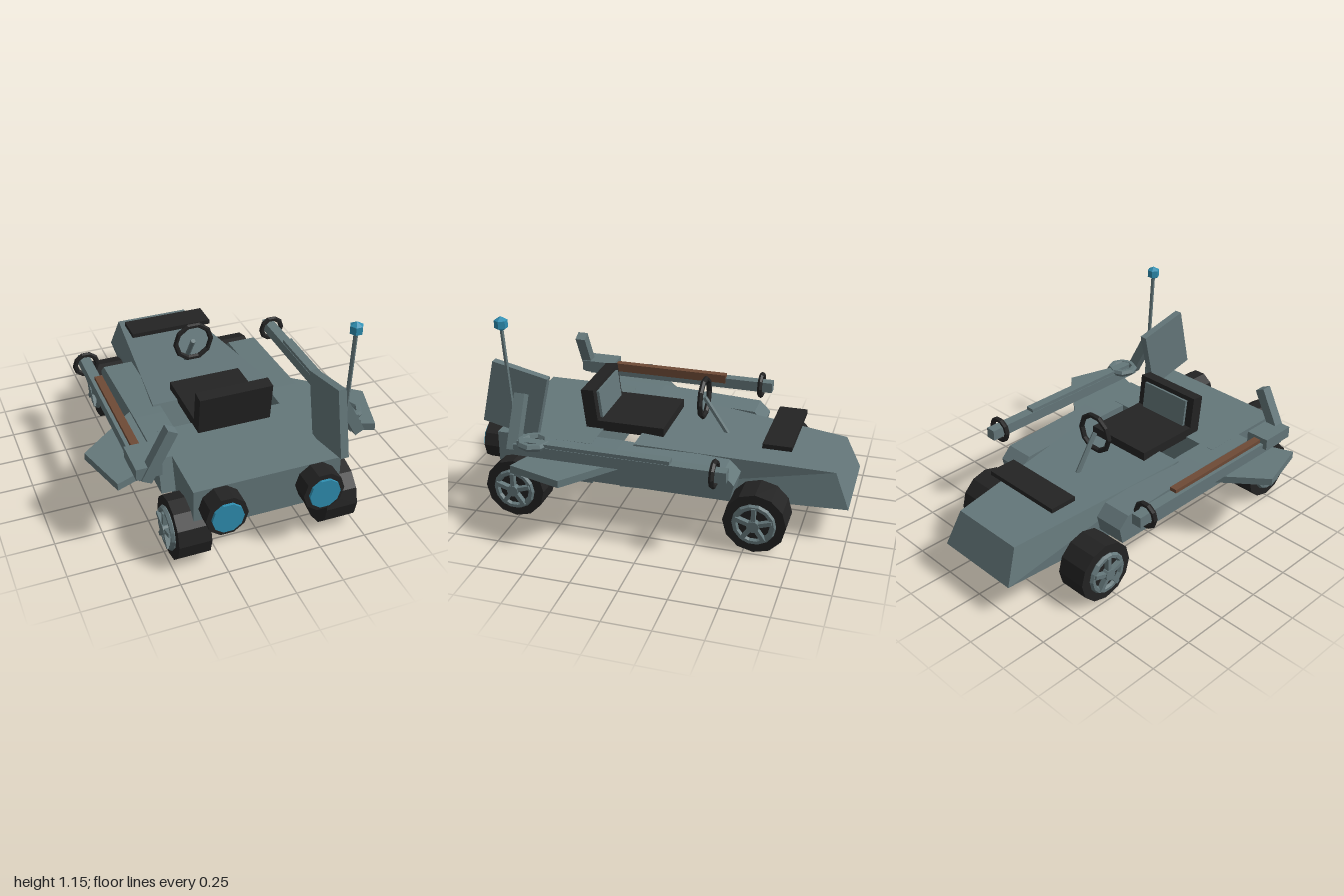
import * as THREE from 'three';

const mat = (name, color) => {
  const m = new THREE.MeshStandardMaterial({ color });
  m.name = name;
  return m;
};

export function createModel() {
  const grey = mat('slate metal', 0x64777a);
  const black = mat('black rubber', 0x232323);
  const blue = mat('blue glass', 0x2f8fb2);
  const brown = mat('brown wood', 0x6e4a36);
  const car = new THREE.Group();
  car.name = 'buggy';

  // Faceted mesh: unshared corners give flat normals
  const add = (name, geo, material, x = 0, y = 0, z = 0, parent = car) => {
    const g = geo.index ? geo.toNonIndexed() : geo;
    g.computeVertexNormals();
    const m = new THREE.Mesh(g, material);
    m.name = name;
    m.position.set(x, y, z);
    parent.add(m);
    return m;
  };
  // Box given by its limits on each axis
  const box = (name, material, x0, x1, y0, y1, z0, z1, parent = car) =>
    add(name, new THREE.BoxGeometry(x1 - x0, y1 - y0, z1 - z0), material,
      (x0 + x1) / 2, (y0 + y1) / 2, (z0 + z1) / 2, parent);
  const polygon = (pts) => new THREE.Shape(pts.map(([a, b]) => new THREE.Vector2(a, b)));
  const extrude = (pts, depth) =>
    new THREE.ExtrudeGeometry(polygon(pts), { depth, bevelEnabled: false });

  // Tapered nose: a box whose corners are moved
  const nose = new THREE.BoxGeometry(2, 2, 2);
  const p = nose.attributes.position;
  for (let i = 0; i < p.count; i++) {
    const s = p.getX(i), top = p.getY(i) > 0, back = p.getZ(i) > 0;
    if (back) p.setXYZ(i, s * 0.34, top ? 0.455 : 0.19, top ? 0.13 : 0.215);
    else p.setXYZ(i, s * (top ? 0.215 : 0.25), top ? 0.378 : 0.19, top ? -0.92 : -1);
  }
  add('nose', nose, grey);
  box('rearBody', grey, -0.39, 0.39, 0.215, 0.45, 0.35, 0.885);
  box('hoodPanel', black, -0.24, 0.24, 0.478, 0.503, -0.69, -0.535);

  // Side sills, fins, wheels, lamps and rails, on both sides
  const sillProfile = [[0.63, 0.27], [0.58, 0.45], [0.2, 0.448], [-0.38, 0.42], [-0.44, 0.36], [-0.42, 0.27]];
  const finOutline = [[0.34, 0.01], [0.785, 0.38], [0.7, 0.675], [0.38, 0.55]];
  for (const s of [-1, 1]) {
    const side = s > 0 ? 'left' : 'right';
    const sill = extrude(sillProfile, 0.165).rotateY(-Math.PI / 2);
    add(side + 'Sill', sill, grey, s > 0 ? 0.465 : -0.3);
    const fin = extrude(finOutline.map(([x, z]) => [s * x, z]), 0.04).rotateX(Math.PI / 2);
    add(side + 'Fin', fin, grey, 0, 0.433);

    // Rear lamps
    const drum = (r, h) => new THREE.CylinderGeometry(r, r, h, 10).rotateX(Math.PI / 2).rotateZ(Math.PI / 2);
    add(side + 'LampHousing', drum(0.11, 0.105), black, s * 0.255, 0.343, 0.9325);
    add(side + 'LampLens', drum(0.083, 0.03), blue, s * 0.255, 0.343, 0.985);

    // Rails with a ring near the tip, and leaning rear posts
    box(side + 'Rail', grey, s * 0.569 - 0.029, s * 0.569 + 0.029, 0.44, 0.5, -0.43, 0.7);
    add(side + 'RailRing', new THREE.TorusGeometry(0.063, 0.015, 6, 10), black, s * 0.569, 0.473, -0.363);
    add(side + 'Post', new THREE.BoxGeometry(0.057, 0.295, 0.058), grey, s * 0.504, 0.585, 0.71)
      .rotation.z = s * 0.488;

    // Wheels with rim, hub and five spokes
    for (const [end, z] of [['front', -0.553], ['rear', 0.765]]) {
      const wheel = new THREE.Group();
      wheel.name = side + (end === 'front' ? 'Nose' : 'Rear') + 'Wheel';
      wheel.position.set(s * 0.395, 0.166, z);
      wheel.rotation.y = s > 0 ? 0 : Math.PI;
      car.add(wheel);
      const disc = (r, h) => new THREE.CylinderGeometry(r, r, h, 12).rotateZ(Math.PI / 2);
      add('tyre', disc(0.166, 0.17), black, 0, 0, 0, wheel);
      add('rim', new THREE.TorusGeometry(0.1, 0.017, 6, 14).rotateY(Math.PI / 2), grey, 0.09, 0, 0, wheel);
      add('hub', disc(0.032, 0.04), grey, 0.1, 0, 0, wheel);
      for (let i = 0; i < 5; i++) {
        const spoke = new THREE.BoxGeometry(0.032, 0.1, 0.022).translate(0, 0.05, 0);
        add('spoke', spoke, grey, 0.099, 0, 0, wheel).rotation.x = i * Math.PI * 0.4;
      }
    }
  }

  // Right rail: wooden strip and stock block
  box('woodStrip', brown, -0.578, -0.536, 0.47, 0.52, -0.15, 0.55);
  box('stockBlock', grey, -0.622, -0.49, 0.472, 0.535, 0.53, 0.73);
  // Left rail: upper bar and flat ring
  box('upperBar', grey, 0.543, 0.595, 0.5, 0.52, -0.14, 0.68);
  add('flatRing', new THREE.TorusGeometry(0.07, 0.021, 6, 8).rotateX(Math.PI / 2), grey, 0.557, 0.506, 0.6);

  // Seat with a leaning back
  box('seatCushion', black, -0.2, 0.2, 0.44, 0.495, 0.01, 0.42);
  const back = new THREE.Group();
  back.name = 'seatBack';
  back.position.set(0, 0.56, 0.425);
  back.rotation.x = 0.12;
  car.add(back);
  box('backFrame', black, -0.2, 0.2, -0.11, 0.108, -0.035, 0.035, back);
  box('backPad', grey, -0.155, 0.155, -0.08, 0.082, -0.05, -0.035, back);

  // Steering wheel and column
  add('steeringWheel', new THREE.TorusGeometry(0.104, 0.015, 6, 10), black, 0, 0.613, -0.163);
  const rod = (name, a, b, r) => {
    const from = new THREE.Vector3(...a), to = new THREE.Vector3(...b);
    const m = add(name, new THREE.CylinderGeometry(r, r, from.distanceTo(to), 6), grey);
    m.position.copy(from).add(to).multiplyScalar(0.5);
    m.quaternion.setFromUnitVectors(new THREE.Vector3(0, 1, 0), to.sub(from).normalize());
  };
  rod('steeringColumn', [0, 0.615, -0.165], [0, 0.41, -0.3], 0.014);

  // Tilted rear plate and antenna
  add('rearPlate', new THREE.BoxGeometry(0.042, 0.358, 0.313), grey, 0.365, 0.648, 0.774)
    .rotation.x = -0.22;
  rod('antennaPole', [0.475, 0.45, 0.733], [0.475, 1.1, 0.777], 0.011);
  add('antennaTip', new THREE.SphereGeometry(0.04, 6, 3), blue, 0.475, 1.109, 0.777);

  return car;
}
